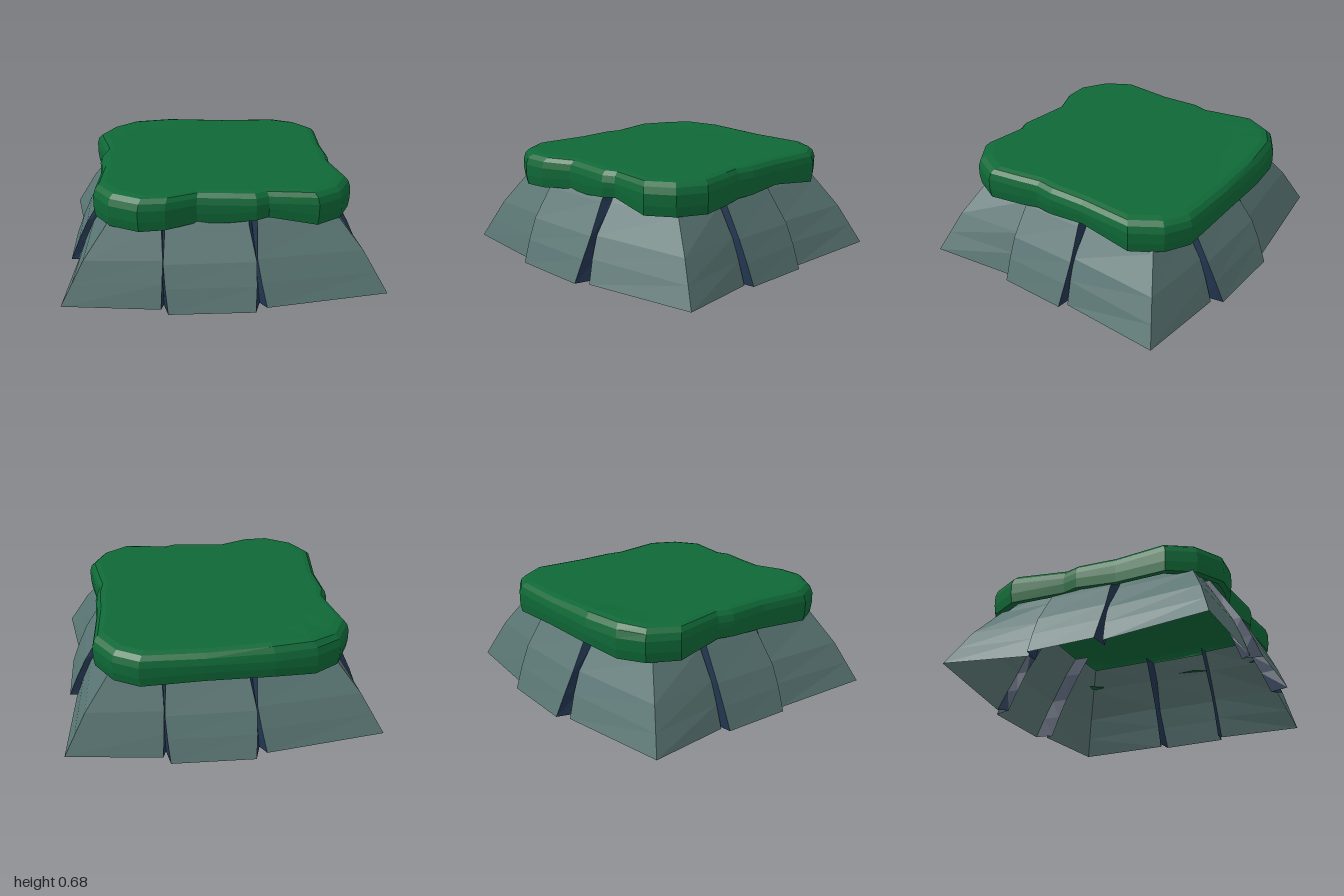
import * as THREE from 'three';

const mat = (name, color) => {
  const m = new THREE.MeshStandardMaterial({ color, flatShading: true, side: THREE.DoubleSide });
  m.name = name;
  return m;
};

// Skin a list of columns, each a polyline of [x, y, z], with flat quads
function skin(name, columns, material, closed = false) {
  const pos = [];
  const n = columns.length;
  for (let i = 0; i < (closed ? n : n - 1); i++) {
    const p = columns[i], q = columns[(i + 1) % n];
    for (let j = 0; j < p.length - 1; j++) {
      pos.push(...p[j], ...q[j], ...q[j + 1], ...p[j], ...q[j + 1], ...p[j + 1]);
    }
  }
  const g = new THREE.BufferGeometry();
  g.setAttribute('position', new THREE.Float32BufferAttribute(pos, 3));
  g.computeVertexNormals();
  const mesh = new THREE.Mesh(g, material);
  mesh.name = name;
  return mesh;
}

// Heights of the stone bands, how far each leans inward, and its sideways bulge
const LEVELS = [[0, 0, 0], [0.14, 0.24, 0.65], [0.27, 0.5, 1], [0.455, 1, 0], [0.58, 1.35, 0]];

// One upright stone edge: foot x,z, upper x,z, bulge x,z, foot lift
const edge = ([bx, bz, tx, tz, mx = 0, mz = 0, lift = 0]) =>
  LEVELS.map(([y, f, b]) => [
    bx + (tx - bx) * f + mx * b, Math.max(y, lift), bz + (tz - bz) * f + mz * b,
  ]);

// Stones of one half; the other half is the same turned by 180 degrees
const STONES = [
  ['cornerStoneA', [
    [-0.93, 0.18, -0.70, 0.17, 0, -0.02],
    [-1.0, 0.83, -0.72, 0.66, 0, 0, 0.02],
    [-0.41, 0.89, -0.39, 0.69, 0.01, 0]]],
  ['middleStoneFront', [
    [-0.37, 0.955, -0.37, 0.73, -0.02, 0],
    [0.145, 0.98, 0.13, 0.74, 0.025, 0]]],
  ['cornerStoneB', [
    [0.22, 0.93, 0.185, 0.71, -0.03, 0],
    [0.97, 0.86, 0.69, 0.66, 0, 0, 0.02],
    [0.90, 0.31, 0.69, 0.30, 0, -0.005]]],
  ['middleStoneSide', [
    [0.955, 0.29, 0.73, 0.28, 0, 0.01],
    [0.975, -0.145, 0.74, -0.135, 0, -0.02]]],
];

function halfWall(stone, gap) {
  const half = new THREE.Group();
  const stones = STONES.map(([name, pts]) => [name, pts.map(edge)]);
  stones.forEach(([name, cols]) => half.add(skin(name, cols, stone)));
  // Dark V-shaped joints between neighbouring stones
  const turned = stones[0][1][0].map(([x, y, z]) => [-x, y, -z]);
  stones.forEach(([, cols], i) => {
    const a = cols[cols.length - 1];
    const b = i < 3 ? stones[i + 1][1][0] : turned;
    const [dx, dz] = i < 2 ? [0, 0.09] : [0.09, 0];
    const deep = a.map((p, k) => [
      (p[0] + b[k][0]) / 2 - dx, p[1], (p[2] + b[k][2]) / 2 - dz,
    ]);
    half.add(skin('joint', [a, deep, b], gap));
  });
  return half;
}

// Slab outline: x, z, height of the lower rim
const OUTLINE = [
  [-0.73, -0.19, 0.49], [-0.76, -0.09, 0.49], [-0.75, 0.17, 0.475], [-0.79, 0.51, 0.46],
  [-0.70, 0.68, 0.46], [-0.53, 0.79, 0.46], [-0.37, 0.79, 0.465], [-0.18, 0.72, 0.475],
  [0.0, 0.745, 0.475], [0.17, 0.77, 0.495], [0.25, 0.74, 0.5], [0.54, 0.79, 0.46],
  [0.70, 0.69, 0.46], [0.79, 0.52, 0.46], [0.76, 0.30, 0.465], [0.74, 0.18, 0.475],
  [0.76, 0.06, 0.48], [0.76, -0.18, 0.5], [0.79, -0.53, 0.46], [0.68, -0.71, 0.46],
  [0.53, -0.80, 0.46], [0.14, -0.82, 0.48], [-0.27, -0.83, 0.48], [-0.53, -0.80, 0.46],
  [-0.69, -0.71, 0.46], [-0.79, -0.53, 0.46],
];

function mossSlab(material) {
  const cols = OUTLINE.map(([x, z, low]) => {
    // Low hump along the back rim
    const hump = 0.024 * Math.exp(-(((x + 0.38) / 0.22) ** 2) - ((z + 0.78) / 0.15) ** 2);
    const rings = [
      [0.94, low + 0.005], [0.99, low], [1, low + 0.06], [1, 0.59], [0.985, 0.63 + hump / 2],
      [0.955, 0.655 + hump], [0.91, 0.664 + hump], [0.72, 0.664], [0, 0.664],
    ];
    return rings.map(([s, y]) => [x * s, y, z * s]);
  });
  return skin('mossSlab', cols, material, true);
}

export function createModel() {
  const model = new THREE.Group();
  model.name = 'mossyStoneBase';
  const stone = mat('greyStone', 0x587472);
  const gap = mat('darkJoint', 0x22354f);
  const moss = mat('greenMoss', 0x0f6837);

  // Sloping stone wall, two equal halves
  for (let i = 0; i < 2; i++) {
    const half = halfWall(stone, gap);
    half.name = i ? 'wallBackHalf' : 'wallFrontHalf';
    half.rotation.y = i * Math.PI;
    model.add(half);
  }
  model.add(mossSlab(moss));
  return model;
}
